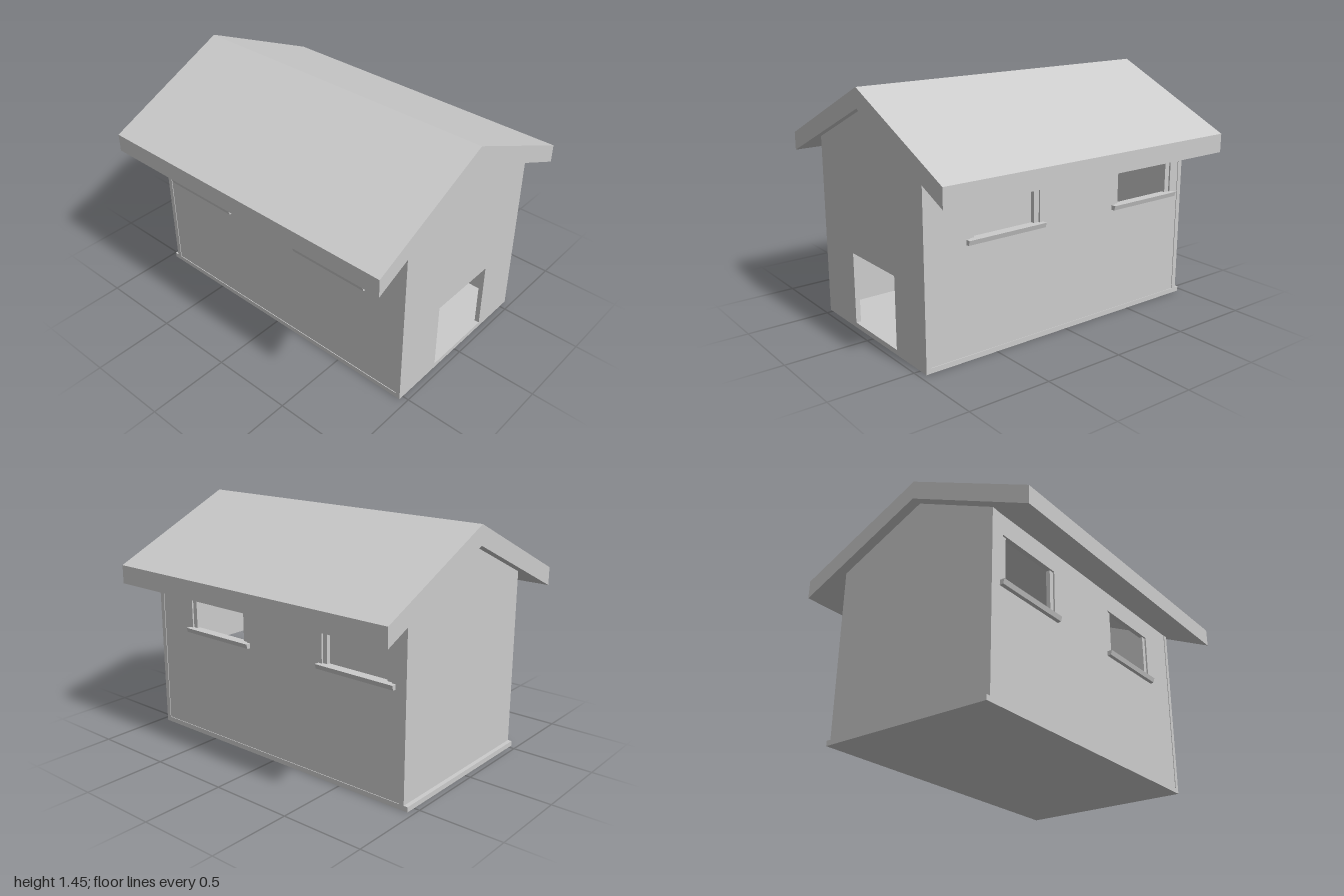
import * as THREE from 'three';

const WALL = 0.03;
const LEFT = 0.56, RIGHT = -0.53;   // outer faces of the side walls
const BACK = -0.94, FRONT = 0.96;
const RIDGE_X = -0.005, RIDGE_Y = 1.33;

// underside height of the roof at a given x
const roofY = (x) => RIDGE_Y - 0.456 * Math.abs(x - RIDGE_X);

const polygon = (points, Type = THREE.Shape) =>
  new Type(points.map(([x, y]) => new THREE.Vector2(x, y)));

const rectangle = (x0, x1, y0, y1) =>
  polygon([[x0, y0], [x1, y0], [x1, y1], [x0, y1]], THREE.Path);

export function createModel() {
  const house = new THREE.Group();
  house.name = 'house';
  const material = new THREE.MeshStandardMaterial({ color: 0xcccccc });

  const add = (name, geometry) => {
    const mesh = new THREE.Mesh(geometry, material);
    mesh.name = name;
    house.add(mesh);
    return mesh;
  };
  const extrude = (name, shape, depth) =>
    add(name, new THREE.ExtrudeGeometry(shape, { depth, bevelEnabled: false }));
  const box = (name, x0, x1, y0, y1, z0, z1) =>
    add(name, new THREE.BoxGeometry(x1 - x0, y1 - y0, z1 - z0))
      .position.set((x0 + x1) / 2, (y0 + y1) / 2, (z0 + z1) / 2);

  // floor slab, showing as a small ledge behind the back wall
  box('floor', RIGHT, LEFT, 0, 0.03, -0.965, FRONT - WALL);

  // gable walls, the front one with a doorway
  const gable = (bottom) => polygon([
    [RIGHT, bottom], [LEFT, bottom], [LEFT, roofY(LEFT)],
    [RIDGE_X, RIDGE_Y], [RIGHT, roofY(RIGHT)],
  ]);
  const frontShape = gable(0);
  frontShape.holes.push(rectangle(-0.2, 0.26, 0.03, 0.46));
  extrude('frontWall', frontShape, WALL).position.z = FRONT - WALL;
  extrude('backWall', gable(0.03), WALL).position.z = BACK;

  // side walls with two window openings, each with jambs and a sill
  const windowCentres = [0.435, -0.61];
  for (const side of [1, -1]) {
    const label = side > 0 ? 'left' : 'right';
    const outer = side > 0 ? LEFT - 0.004 : RIGHT + 0.004;
    const inner = outer - side * WALL;
    const span = (a, b) => [Math.min(a, b), Math.max(a, b)];

    const shape = polygon([
      [BACK + WALL, 0.03], [FRONT - WALL, 0.03],
      [FRONT - WALL, 1.1], [BACK + WALL, 1.1],
    ]);
    for (const z of windowCentres) {
      shape.holes.push(rectangle(z - 0.235, z + 0.235, 0.67, 0.97));
    }
    const wall = extrude(label + 'Wall', shape, WALL);
    wall.rotation.y = -Math.PI / 2;
    wall.position.x = Math.max(outer, inner);

    for (const z of windowCentres) {
      const jambX = span(outer - side * 0.01, inner - side * 0.005);
      box(label + 'WindowJamb', ...jambX, 0.67, 0.97, z - 0.235, z - 0.2);
      box(label + 'WindowJamb', ...jambX, 0.67, 0.97, z + 0.205, z + 0.235);

      // sill with a sloping underside
      const sill = extrude(label + 'WindowSill', polygon([
        [inner, 0.655], [outer + side * 0.022, 0.66],
        [outer + side * 0.03, 0.688], [inner, 0.688],
      ]), 0.52);
      sill.position.z = z - 0.26;
    }
  }

  // gabled roof slab with wide eaves
  extrude('roof', polygon([
    [-0.805, 0.965], [RIDGE_X, RIDGE_Y], [0.805, 0.962],
    [0.805, 1.075], [RIDGE_X, 1.445], [-0.805, 1.075],
  ]), 2).position.z = -1;

  return house;
}
